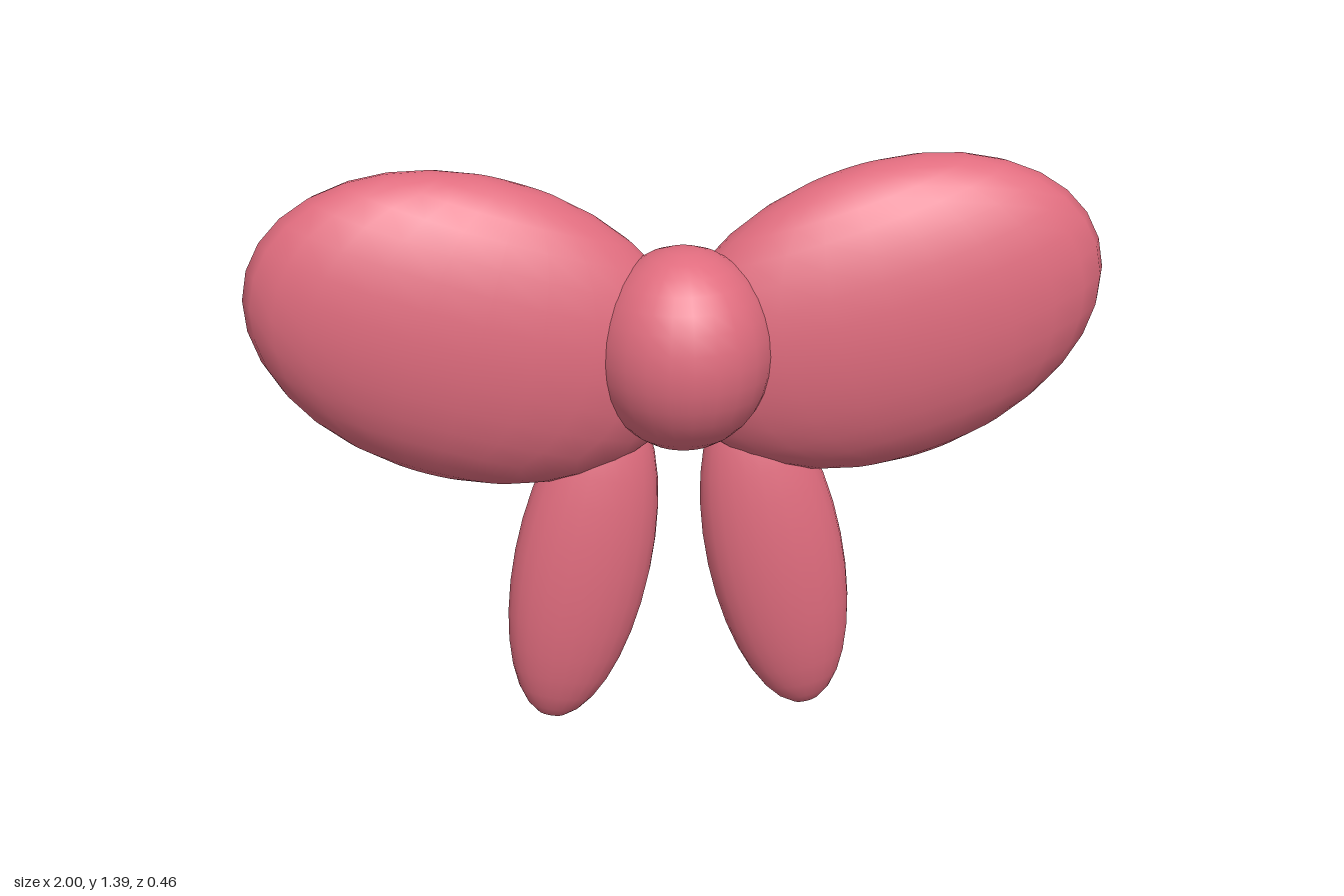
import * as THREE from 'three';

export function createModel() {
  const model = new THREE.Group();
  model.name = 'bow';
  const ribbon = new THREE.MeshStandardMaterial({ color: 0xe06c7e });
  ribbon.name = 'ribbonPink';
  const ball = new THREE.SphereGeometry(1, 24, 16);

  // Every part is a stretched ball tilted in the plane of the bow
  function addPuff(name, radii, position, tilt = 0) {
    const mesh = new THREE.Mesh(ball, ribbon);
    mesh.name = name;
    mesh.scale.set(...radii);
    mesh.position.set(...position);
    mesh.rotation.z = tilt;
    model.add(mesh);
  }

  // Centre knot
  addPuff('knot', [0.212, 0.241, 0.209], [0, 0.966, 0.018]);

  // Mirrored loops and tails
  for (const [side, s] of [['left', 1], ['right', -1]]) {
    addPuff(side + 'Loop', [0.53, 0.362, 0.188], [s * 0.485, 1.01, -0.045], s * 0.313);
    addPuff(side + 'Tail', [0.165, 0.422, 0.101], [s * 0.232, 0.416, -0.061], s * 0.2);
  }
  return model;
}
